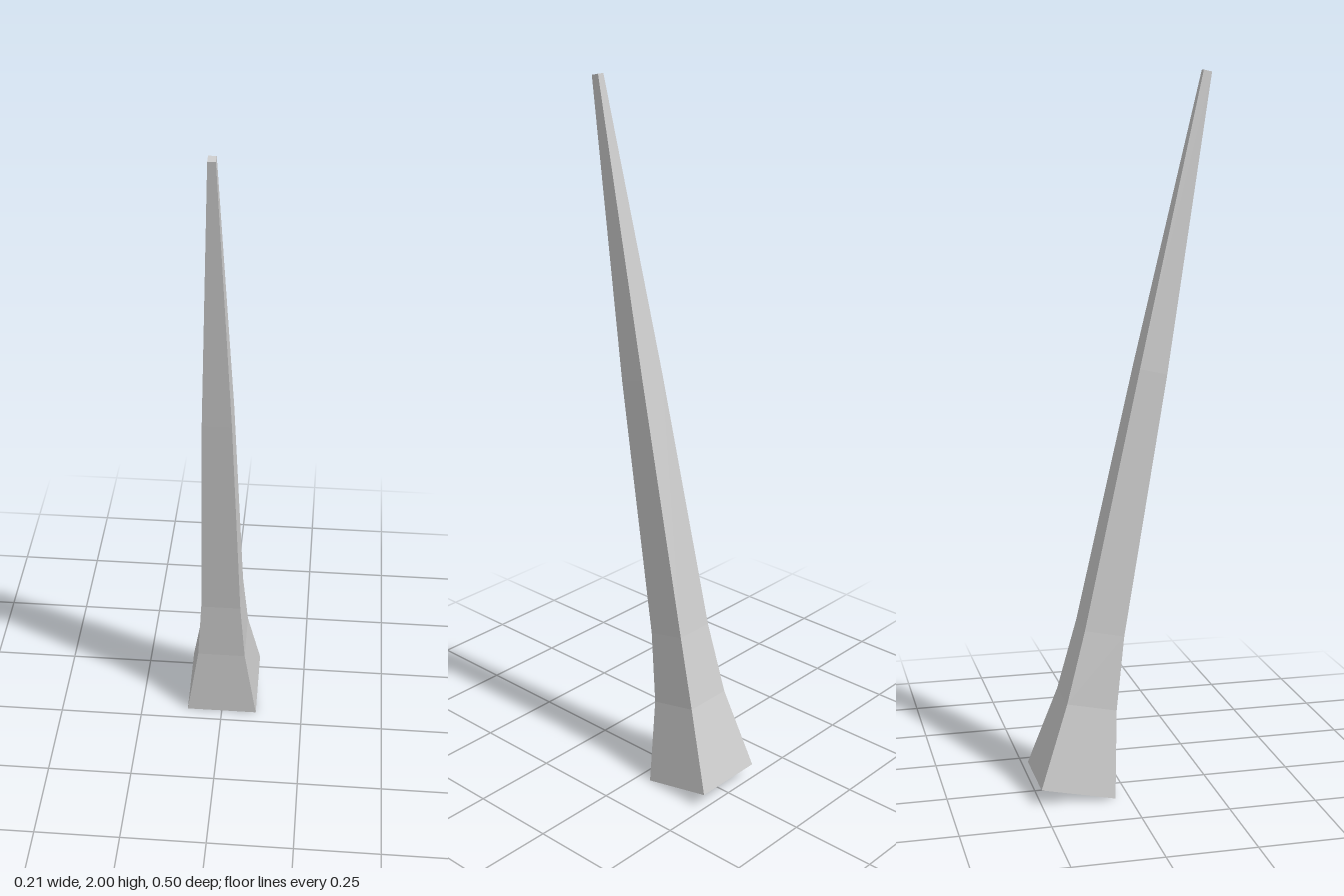
import * as THREE from 'three';

// Four-sided sections, bottom to top: half width, front z, front y, back z, back y
const SECTIONS = [
  [0.107, -0.04, 0, -0.25, 0.045],
  [0.071, -0.028, 0.245, -0.169, 0.275],
  [0.058, -0.003, 0.455, -0.115, 0.479],
  [0.04, 0.122, 1.185, 0.045, 1.202],
  [0.01, 0.25, 1.995, 0.227, 2],
];

// Joins square sections into a closed, faceted solid
function loftSquares(sections) {
  const positions = [];
  const index = [];
  for (const [w, zf, yf, zb, yb] of sections) {
    positions.push(-w, yf, zf, w, yf, zf, w, yb, zb, -w, yb, zb);
  }
  const quad = (a, b, c, d) => index.push(a, b, c, a, c, d);
  for (let s = 0; s < sections.length - 1; s++) {
    for (let i = 0; i < 4; i++) {
      const a = s * 4 + i;
      const b = s * 4 + ((i + 1) % 4);
      quad(a, b, b + 4, a + 4);
    }
  }
  const t = (sections.length - 1) * 4;
  quad(3, 2, 1, 0); // base
  quad(t, t + 1, t + 2, t + 3); // tip
  const indexed = new THREE.BufferGeometry();
  indexed.setAttribute('position', new THREE.Float32BufferAttribute(positions, 3));
  indexed.setIndex(index);
  const geometry = indexed.toNonIndexed();
  geometry.computeVertexNormals();
  return geometry;
}

export function createModel() {
  const group = new THREE.Group();
  group.name = 'leaningSpike';
  const material = new THREE.MeshStandardMaterial({ color: 0xcccccc, flatShading: true });
  // Flared foot and tapering shaft in one solid
  const shaft = new THREE.Mesh(loftSquares(SECTIONS), material);
  shaft.name = 'taperedShaft';
  group.add(shaft);
  return group;
}
